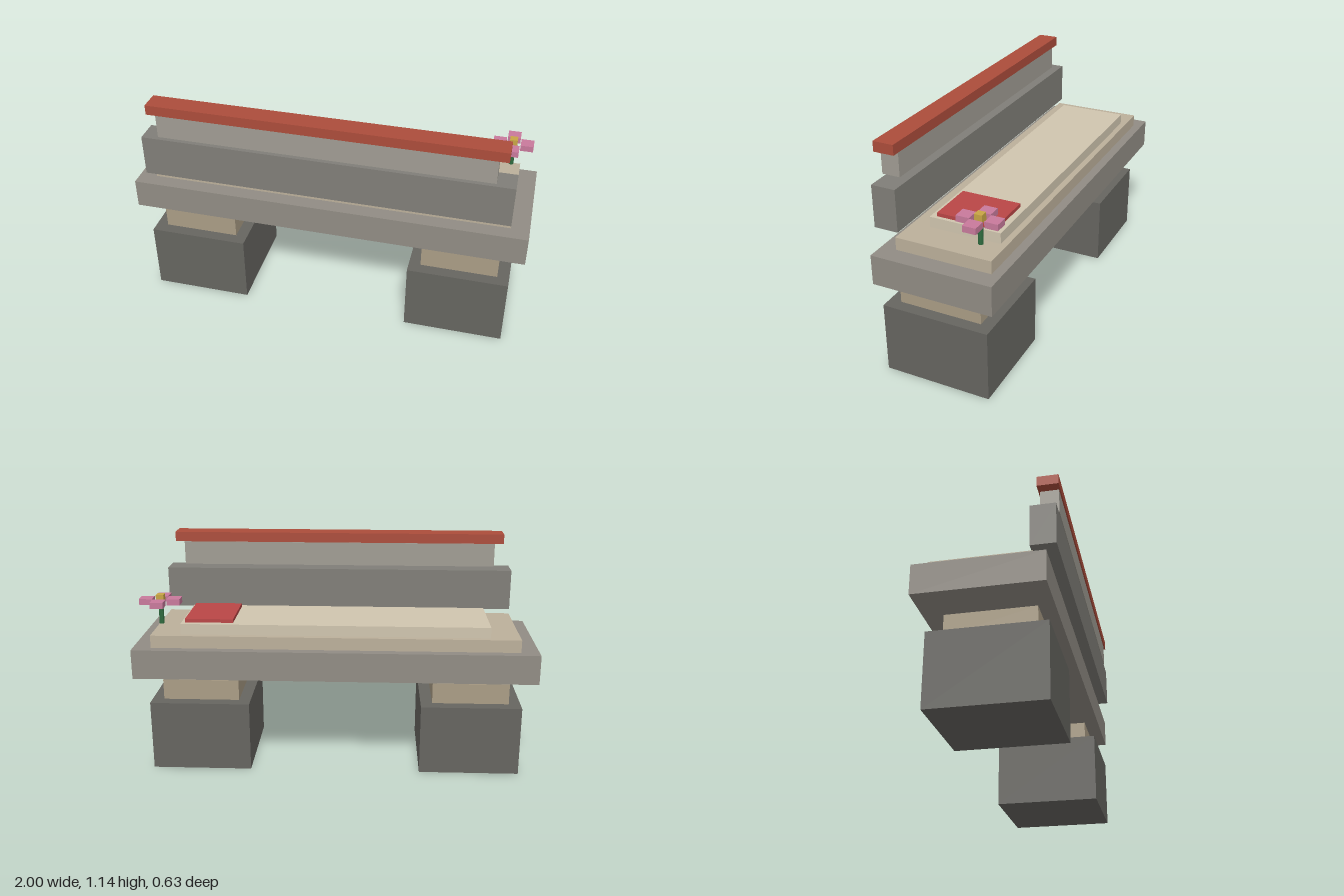
import * as THREE from 'three';

// Block given by its extents on each axis
function block(name, color, [x0, x1], [y0, y1], [z0, z1]) {
  const mesh = new THREE.Mesh(
    new THREE.BoxGeometry(x1 - x0, y1 - y0, z1 - z0),
    new THREE.MeshStandardMaterial({ color })
  );
  mesh.name = name;
  mesh.position.set((x0 + x1) / 2, (y0 + y1) / 2, (z0 + z1) / 2);
  return mesh;
}

function createFlower() {
  const flower = new THREE.Group();
  flower.name = 'flower';
  flower.position.set(0.863, 0, -0.197);

  const stem = new THREE.Mesh(
    new THREE.CylinderGeometry(0.0125, 0.0125, 0.112, 8),
    new THREE.MeshStandardMaterial({ color: 0x2f6b3f, flatShading: true })
  );
  stem.name = 'stem';
  stem.position.y = 0.82;
  flower.add(stem);

  // Four square petals in a cross
  for (const [dx, dz] of [[1, 0], [-1, 0], [0, 1], [0, -1]]) {
    const x = dx * 0.068, z = dz * 0.068, h = 0.032;
    flower.add(block('petal', 0xc87a9c, [x - h, x + h], [0.864, 0.894], [z - h, z + h]));
  }
  flower.add(block('flowerCentre', 0xc9a545, [-0.019, 0.019], [0.874, 0.912], [-0.019, 0.019]));
  return flower;
}

export function createModel() {
  const bench = new THREE.Group();
  bench.name = 'stoneBench';

  // Two plinth legs, each with a smaller cap block
  for (const [side, s] of [['left', 1], ['right', -1]]) {
    const c = s * 0.685;
    bench.add(block(side + 'Leg', 0x666560, [c - 0.252, c + 0.252], [0, 0.357], [-0.256, 0.281]));
    bench.add(block(side + 'LegCap', 0xaa9d85, [c - 0.193, c + 0.193], [0.357, 0.462], [-0.195, 0.222]));
  }

  // Stepped seat
  bench.add(block('seatSlab', 0x918c84, [-1, 1], [0.509, 0.657], [-0.316, 0.281]));
  bench.add(block('seatStep', 0xbcb09b, [-0.91, 0.91], [0.657, 0.72], [-0.271, 0.206]));
  bench.add(block('seatTop', 0xd0c5af, [-0.763, 0.763], [0.72, 0.773], [-0.241, 0.115]));
  bench.add(block('cushion', 0xba4646, [0.505, 0.745], [0.773, 0.791], [-0.211, 0.087]));

  // Floating rail stack
  bench.add(block('lowerRail', 0x807e78, [-0.91, 0.91], [0.747, 0.956], [0.191, 0.311]));
  bench.add(block('upperRail', 0xa09c93, [-0.82, 0.82], [0.971, 1.092], [0.221, 0.311]));
  bench.add(block('railCap', 0xac4d3b, [-0.865, 0.865], [1.094, 1.144], [0.214, 0.317]));

  bench.add(createFlower());
  return bench;
}
